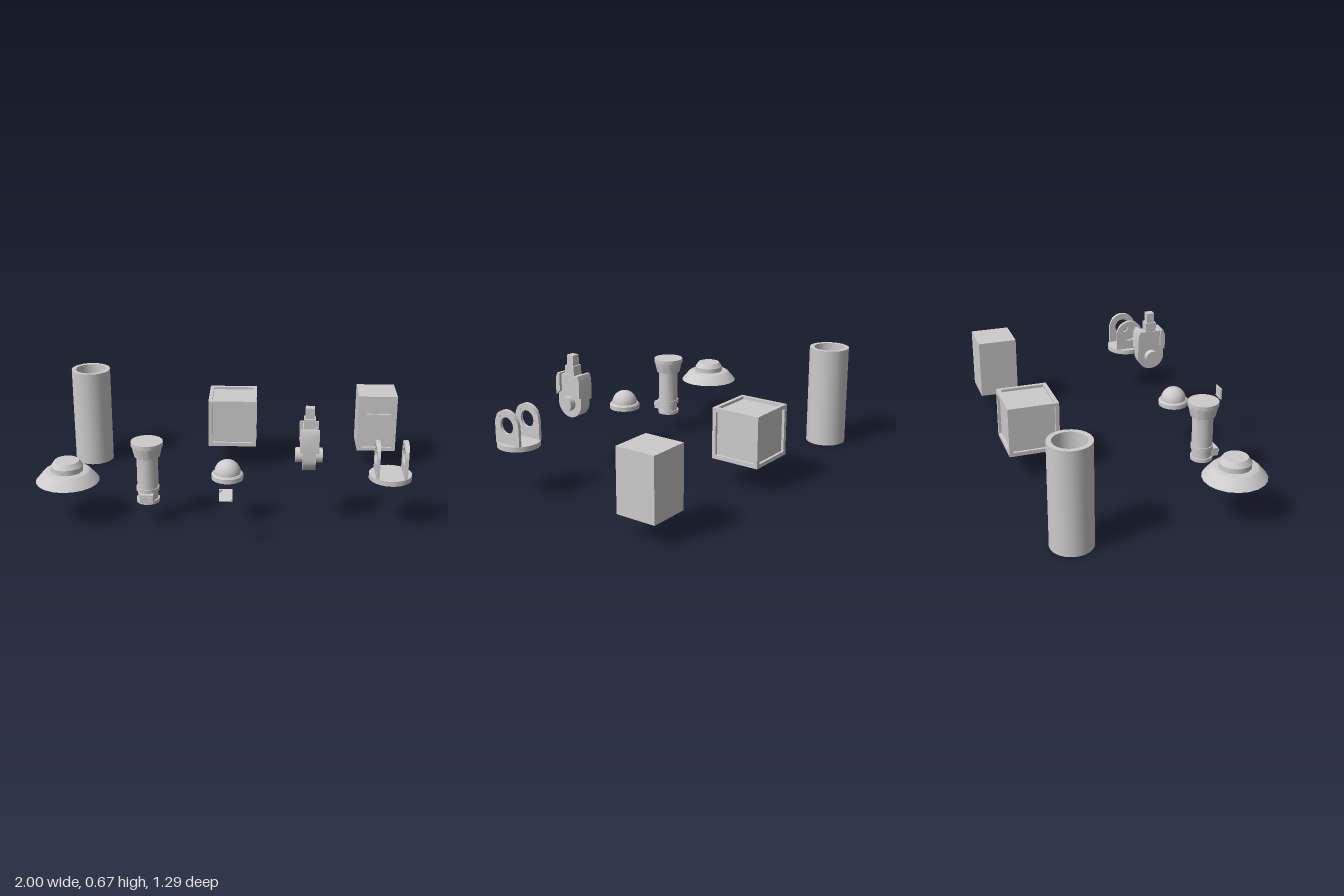
import * as THREE from 'three';
import { toCreasedNormals } from 'three/addons/utils/BufferGeometryUtils.js';

const mat = new THREE.MeshStandardMaterial({ color: 0xcccccc });

function add(parent, name, geo, x = 0, y = 0, z = 0) {
  const m = new THREE.Mesh(geo, mat);
  m.name = name;
  m.position.set(x, y, z);
  parent.add(m);
  return m;
}

function part(root, name, x, z) {
  const g = new THREE.Group();
  g.name = name;
  g.position.set(x, 0, z);
  root.add(g);
  return g;
}

const box = (w, h, d) => new THREE.BoxGeometry(w, h, d);
const turned = (pts, sides) => toCreasedNormals(
  new THREE.LatheGeometry(pts.map(([r, y]) => new THREE.Vector2(r, y)), sides), 0.6);

// Outline in (z, y), extruded symmetrically along x
function slabX(shape, width) {
  const g = new THREE.ExtrudeGeometry(shape, { depth: width, bevelEnabled: false, curveSegments: 16 });
  g.translate(0, 0, -width / 2);
  g.rotateY(-Math.PI / 2);
  return toCreasedNormals(g, 0.6);
}

function polygon(pts) {
  return new THREE.Shape(pts.map(([x, y]) => new THREE.Vector2(x, y)));
}

const rect = (x0, y0, x1, y1) => polygon([[x0, y0], [x1, y0], [x1, y1], [x0, y1]]);

export function createModel() {
  const root = new THREE.Group();
  root.name = 'partsSet';

  // Open pipe
  const pipe = part(root, 'pipe', -0.83, -0.505);
  add(pipe, 'pipeWall', turned(
    [[0.114, 0], [0.114, 0.575], [0.088, 0.575], [0.088, 0], [0.114, 0]], 32));

  // Crate: core with a raised frame of twelve bars
  const crate = part(root, 'crate', 0.025, -0.505);
  const S = 0.284, T = 0.022, cy = 0.288, o = (S - T) / 2;
  add(crate, 'crateCore', box(S - 0.03, S - 0.03, S - 0.03), 0, cy, 0);
  for (const a of [-o, o]) for (const b of [-o, o]) {
    add(crate, 'crateUpright', box(T, S, T), a, cy, b);
    add(crate, 'crateRailX', box(S - 2 * T, T, T), 0, cy + a, b);
    add(crate, 'crateRailZ', box(T, T, S - 2 * T), b, cy + a, 0);
  }

  // Cabinet with two recessed front panels
  const cabinet = part(root, 'cabinet', 0.884, -0.505);
  add(cabinet, 'cabinetBody', box(0.227, 0.342, 0.211), 0, 0.291, -0.0075);
  const face = rect(-0.1135, 0.12, 0.1135, 0.462);
  face.holes.push(rect(-0.062, 0.35, 0.075, 0.42), rect(-0.085, 0.14, 0.09, 0.308));
  add(cabinet, 'cabinetFace',
    new THREE.ExtrudeGeometry(face, { depth: 0.015, bevelEnabled: false }), 0, 0, 0.098);

  // Flared disc with stepped cap
  const disc = part(root, 'flaredDisc', -0.83, 0.355);
  add(disc, 'discBody', turned([[0, 0.232], [0.17, 0.232], [0.125, 0.285], [0.115, 0.29],
    [0.085, 0.29], [0.085, 0.318], [0.066, 0.345], [0, 0.345]], 20));

  // Post with flared head and collared foot
  const post = part(root, 'flaredPost', -0.4, 0.355);
  add(post, 'postBody', turned([[0, 0.12], [0.062, 0.12], [0.062, 0.14], [0.054, 0.14],
    [0.054, 0.185], [0.062, 0.185], [0.062, 0.205], [0.057, 0.205], [0.057, 0.38],
    [0.068, 0.38], [0.082, 0.44], [0.085, 0.44], [0.085, 0.463], [0, 0.463]], 24));
  add(post, 'footBlock', box(0.07, 0.045, 0.06), 0, 0.162, 0.052);
  for (const s of [-1, 1]) {
    const knob = add(post, 'footKnob', new THREE.CylinderGeometry(0.015, 0.015, 0.008, 16),
      s * 0.017, 0.162, 0.085);
    knob.rotation.x = Math.PI / 2;
  }

  // Dome on a round base
  const dome = part(root, 'domeLamp', 0.025, 0.352);
  add(dome, 'domeBase', turned([[0, 0.258], [0.085, 0.258], [0.085, 0.282], [0.077, 0.291], [0, 0.291]], 32));
  add(dome, 'domeTop', new THREE.SphereGeometry(0.071, 32, 12, 0, Math.PI * 2, 0, Math.PI / 2), 0, 0.29, 0);

  // Small plate with fine ridges on its front
  const plate = part(root, 'ridgedPlate', 0.028, 0.638);
  const ridges = [[-0.005, 0.254], [0.001, 0.254]];
  const n = 12, step = 0.068 / n;
  for (let i = 0; i < n; i++) {
    ridges.push([0.005, 0.254 + (i + 0.5) * step], [0.001, 0.254 + (i + 1) * step]);
  }
  ridges.push([-0.005, 0.322]);
  add(plate, 'plateBody', slabX(polygon(ridges), 0.068));

  // Pivot block with round lower end, cross pin and stepped stem
  const pivot = part(root, 'pivotBlock', 0.452, 0.355);
  const body = new THREE.Shape();
  body.moveTo(-0.08, 0.4);
  body.absarc(0, 0.4, 0.08, Math.PI, Math.PI * 2, false);
  body.lineTo(0.08, 0.455);
  body.lineTo(0.062, 0.475);
  body.lineTo(0.062, 0.555);
  body.lineTo(-0.062, 0.555);
  body.lineTo(-0.062, 0.475);
  body.lineTo(-0.08, 0.455);
  add(pivot, 'pivotBody', slabX(body, 0.068));
  const pin = add(pivot, 'pivotPin', new THREE.CylinderGeometry(0.04, 0.04, 0.142, 24), 0, 0.4, 0);
  pin.rotation.z = Math.PI / 2;
  for (const s of [-1, 1]) {
    // cheek plates clasping both ends, chamfered at the top
    const cheek = polygon([[s * 0.056, 0.465], [s * 0.083, 0.44], [s * 0.083, 0.535],
      [s * 0.072, 0.563], [s * 0.056, 0.563]]);
    add(pivot, 'cheekPlate', slabX(cheek, 0.1));
  }
  add(pivot, 'stemLower', box(0.06, 0.055, 0.062), 0, 0.58, 0);
  add(pivot, 'stemUpper', box(0.046, 0.06, 0.044), 0, 0.635, 0);

  // Clevis: round base with two pierced lugs
  const clevis = part(root, 'clevis', 0.884, 0.352);
  add(clevis, 'clevisBase', new THREE.CylinderGeometry(0.113, 0.113, 0.027, 32), 0, 0.287, 0);
  const lug = new THREE.Shape();
  lug.moveTo(-0.083, 0.3);
  lug.lineTo(0.083, 0.3);
  lug.lineTo(0.083, 0.4);
  lug.absarc(0, 0.4, 0.083, 0, Math.PI, false);
  const collar = new THREE.Shape();
  collar.absarc(0, 0.4, 0.083, Math.PI * 0.2, Math.PI * 0.8, false);
  collar.absarc(0, 0.4, 0.062, Math.PI * 0.8, Math.PI * 0.2, true);
  const hole = new THREE.Path();
  hole.absarc(0, 0.4, 0.045, 0, Math.PI * 2, true);
  lug.holes.push(hole);
  for (const s of [-1, 1]) {
    add(clevis, 'clevisLug', slabX(lug, 0.016), s * 0.073, 0, 0);
    add(clevis, 'lugRim', slabX(collar, 0.022), s * 0.074, 0, 0);
  }

  return root;
}
